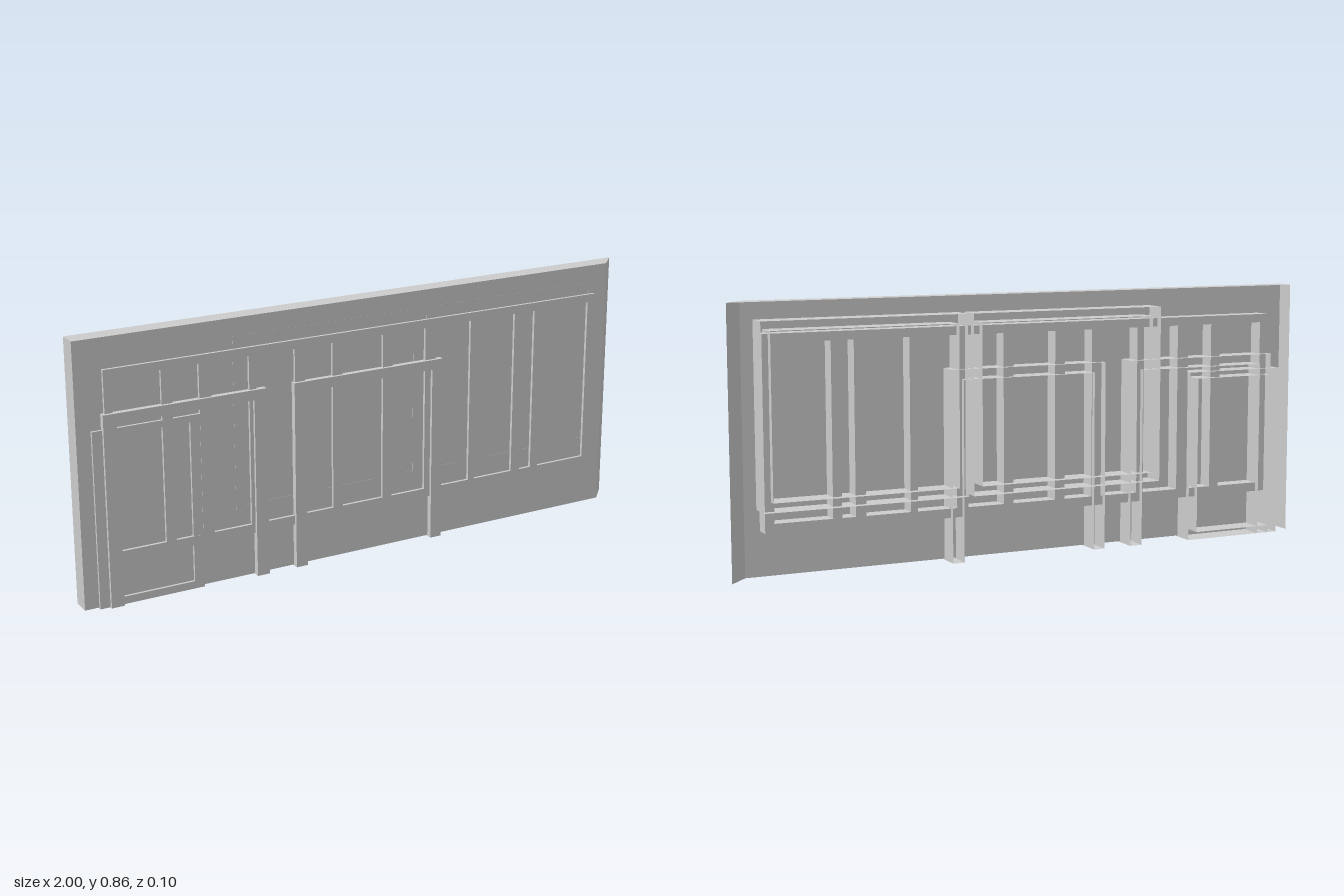
import * as THREE from 'three';
import { mergeGeometries } from 'three/addons/utils/BufferGeometryUtils.js';

const material = new THREE.MeshStandardMaterial({ color: 0xcccccc, side: THREE.DoubleSide });

const rect = (x0, x1, y0, y1) => [[x0, y0], [x1, y0], [x1, y1], [x0, y1]];
const toVectors = (points) => points.map(([x, y]) => new THREE.Vector2(x, y));

function makeShape(outline, holes = []) {
  const shape = new THREE.Shape(toVectors(outline));
  holes.forEach((h) => shape.holes.push(new THREE.Path(toVectors(h))));
  return shape;
}

// Flat quad through four corners
function quad(a, b, c, d) {
  const g = new THREE.BufferGeometry();
  g.setAttribute('position', new THREE.Float32BufferAttribute([...a, ...b, ...c, ...d], 3));
  g.setAttribute('uv', new THREE.Float32BufferAttribute([0, 0, 1, 0, 1, 1, 0, 1], 2));
  g.setIndex([0, 1, 2, 0, 2, 3]);
  g.computeVertexNormals();
  return g;
}

// Front face with side walls running back, open behind
function shell(outline, holes, back, front) {
  const parts = [new THREE.ShapeGeometry(makeShape(outline, holes)).translate(0, 0, front)];
  const contours = [outline, ...holes.map((h) => [...h].reverse())];
  for (const contour of contours) {
    contour.forEach(([x0, y0], i) => {
      const [x1, y1] = contour[(i + 1) % contour.length];
      parts.push(quad([x0, y0, back], [x1, y1, back], [x1, y1, front], [x0, y0, front]));
    });
  }
  return mergeGeometries(parts);
}

// Door surround: two legs and a head
function portal(x0, x1, top, legWidth, headHeight) {
  const a = x0 + legWidth, b = x1 - legWidth, h = top - headHeight;
  return [[x0, 0], [a, 0], [a, h], [b, h], [b, 0], [x1, 0], [x1, top], [x0, top]];
}

export function createModel() {
  const group = new THREE.Group();
  const add = (name, geometry) => {
    const mesh = new THREE.Mesh(geometry, material);
    mesh.name = name;
    group.add(mesh);
  };

  // Wall panel: front, top and two ends, one of them mitred; open behind
  const F = 0.03, B = -0.033, H = 0.86, Y = 0.003, M = 0.94;
  add('wall', mergeGeometries([
    quad([-1, Y, F], [M, Y, F], [M, H, F], [-1, H, F]),
    quad([-1, H, F], [M, H, F], [1, H, B], [-1, H, B]),
    quad([M, Y, F], [1, Y, B], [1, H, B], [M, H, F]),
    quad([-1, Y, B], [-1, Y, F], [-1, H, F], [-1, H, B]),
  ]));

  // Long window lattice with eleven lights
  const lights = [
    [-0.885, -0.725], [-0.69, -0.6], [-0.56, -0.43], [-0.405, -0.27],
    [-0.235, -0.135], [-0.1, 0.05], [0.085, 0.21], [0.25, 0.385],
    [0.41, 0.56], [0.595, 0.64], [0.67, 0.86],
  ].map(([a, b]) => rect(a, b, 0.177, 0.734));
  const lattice = new THREE.ExtrudeGeometry(
    makeShape(rect(-0.91, 0.89, 0.147, 0.762), lights),
    { depth: 0.065, bevelEnabled: false }
  );
  add('windowLattice', lattice.translate(0, 0, -0.025));

  // Door surrounds
  add('sideDoorFrame', shell(portal(-0.92, -0.375, 0.625, 0.043, 0.033), [], -0.042, 0.05));
  add('middleDoorFrame', shell(portal(-0.277, 0.272, 0.625, 0.04, 0.033), [], -0.042, 0.05));

  // Small framed opening with a sill
  add('smallDoorFrame', shell(rect(-0.953, -0.6, 0, 0.575),
    [rect(-0.92, -0.633, 0.025, 0.553)], -0.042, 0.039));

  // Two deep window casings behind the wall
  for (const [x0, x1] of [[-0.48, 0.2], [0.22, 0.9]]) {
    add('rearCasing', shell(rect(x0, x1, 0.215, 0.802),
      [rect(x0 + 0.03, x1 - 0.03, 0.245, 0.772)], -0.049, 0.0305));
  }

  return group;
}
